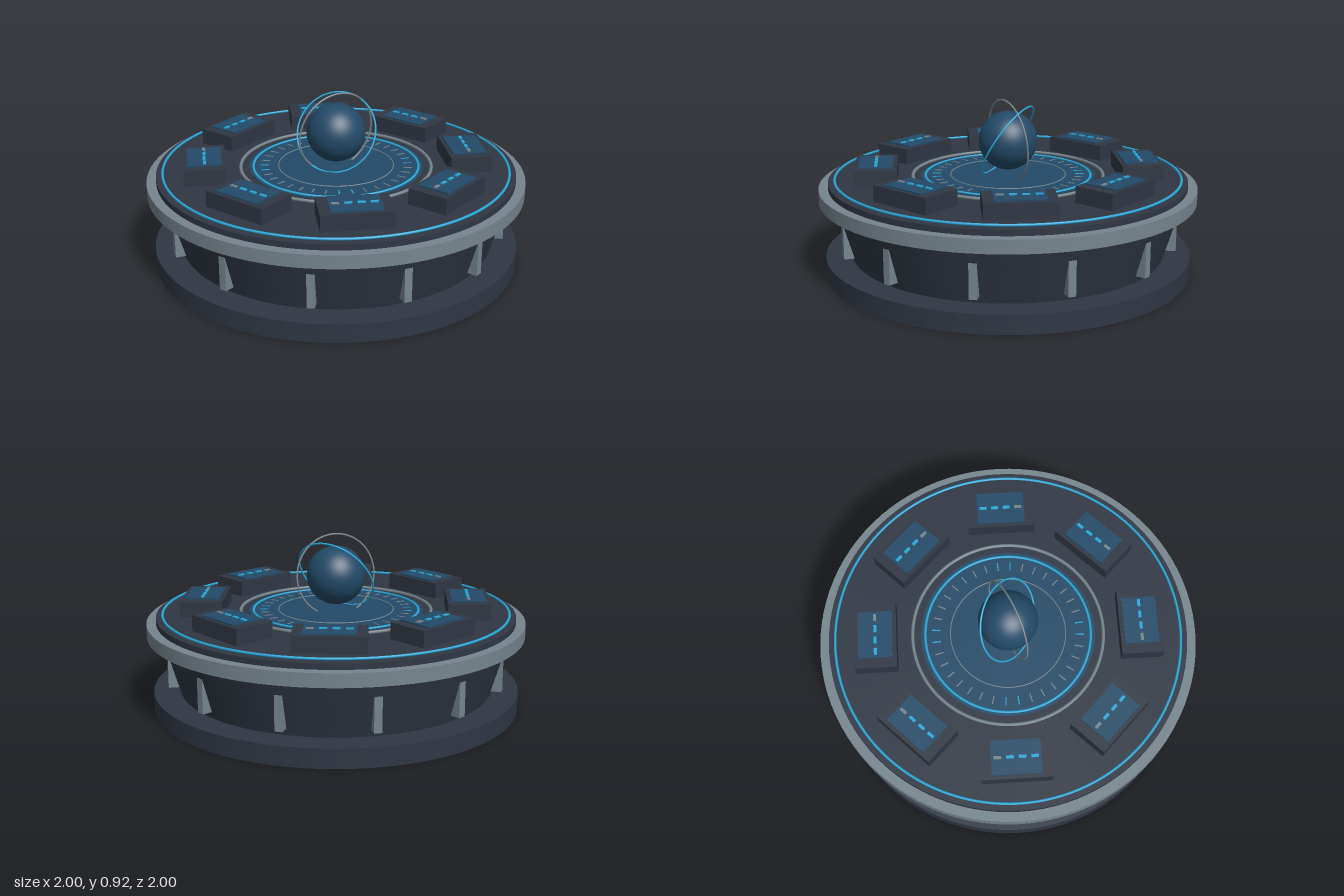
import * as THREE from 'three';

const paint = (name, color) => {
  const m = new THREE.MeshStandardMaterial({ color });
  m.name = name;
  return m;
};

export function createModel() {
  const dark = paint('dark slate', 0x2f3744);
  const steel = paint('steel grey', 0x76858e);
  const cyan = paint('glowing cyan', 0x2aa8d8);
  const blue = paint('deep blue', 0x234a68);

  const model = new THREE.Group();
  model.name = 'holographicTable';

  const add = (parent, name, geometry, material, x = 0, y = 0, z = 0) => {
    const mesh = new THREE.Mesh(geometry, material);
    mesh.name = name;
    mesh.position.set(x, y, z);
    parent.add(mesh);
    return mesh;
  };
  // Round slab between two heights
  const slab = (name, rTop, rBottom, y0, y1, material) =>
    add(model, name, new THREE.CylinderGeometry(rTop, rBottom, y1 - y0, 96), material, 0, (y0 + y1) / 2, 0);
  // Ring lying flat on the table
  const flatRing = (name, radius, tube, y, material) => {
    const ring = add(model, name, new THREE.TorusGeometry(radius, tube, 8, 128), material, 0, y, 0);
    ring.rotation.x = Math.PI / 2;
  };
  // Group turned around the vertical axis
  const spoke = (name, angle) => {
    const g = new THREE.Group();
    g.name = name;
    g.rotation.y = angle;
    model.add(g);
    return g;
  };

  // Body
  slab('base', 0.975, 0.975, 0, 0.1, dark);
  slab('pedestal', 0.92, 0.835, 0.1, 0.39, dark);
  slab('rim', 1, 1, 0.4, 0.47, steel);
  slab('tableTop', 0.95, 0.95, 0.47, 0.5, dark);
  flatRing('outerLightRing', 0.915, 0.007, 0.511, cyan);

  // Brackets around the pedestal
  for (let i = 0; i < 12; i++) {
    const g = spoke('bracket', (i * Math.PI) / 6);
    add(g, 'bracketBlock', new THREE.BoxGeometry(0.04, 0.18, 0.07), steel, 0, 0.228, 0.865);
  }

  // Central display
  slab('displayPlinth', 0.5, 0.5, 0.5, 0.508, dark);
  slab('displayDisc', 0.46, 0.46, 0.508, 0.512, blue);
  flatRing('displayFrame', 0.505, 0.009, 0.512, steel);
  flatRing('displayLightRing', 0.438, 0.007, 0.512, cyan);
  flatRing('displayInnerRing', 0.305, 0.003, 0.513, steel);
  for (let i = 0; i < 36; i++) {
    const lit = i % 9 === 4 || i % 9 === 5;
    const g = spoke('tick', (i * Math.PI) / 18);
    add(g, 'tickMark', new THREE.BoxGeometry(0.006, 0.004, 0.045), lit ? cyan : steel, 0, 0.513, 0.38);
  }

  // Eight consoles with a screen and four dashes each
  for (let i = 0; i < 8; i++) {
    const g = spoke('console', (i * Math.PI) / 4);
    add(g, 'consoleBox', new THREE.BoxGeometry(0.36, 0.085, 0.22), dark, 0, 0.5425, 0.695);
    add(g, 'consoleScreen', new THREE.BoxGeometry(0.255, 0.007, 0.18), blue, 0, 0.5885, 0.695);
    for (let k = 0; k < 4; k++) {
      add(g, 'consoleDash', new THREE.BoxGeometry(0.038, 0.006, 0.016),
        k === 0 ? steel : cyan, (k - 1.5) * 0.063, 0.595, 0.695);
    }
  }

  // Floating globe with two tilted orbits
  const globeY = 0.695;
  add(model, 'globe', new THREE.SphereGeometry(0.155, 48, 32), blue, 0, globeY, 0);
  const orbit = (name, radius, tube, normal, material) => {
    const ring = add(model, name, new THREE.TorusGeometry(radius, tube, 8, 96), material, 0, globeY, 0);
    ring.quaternion.setFromUnitVectors(new THREE.Vector3(0, 0, 1), normal.normalize());
  };
  orbit('steelOrbit', 0.217, 0.005, new THREE.Vector3(0.92, -0.1, 0.37), steel);
  orbit('cyanOrbit', 0.217, 0.005, new THREE.Vector3(0.24, 0.52, 0.82), cyan);

  return model;
}
